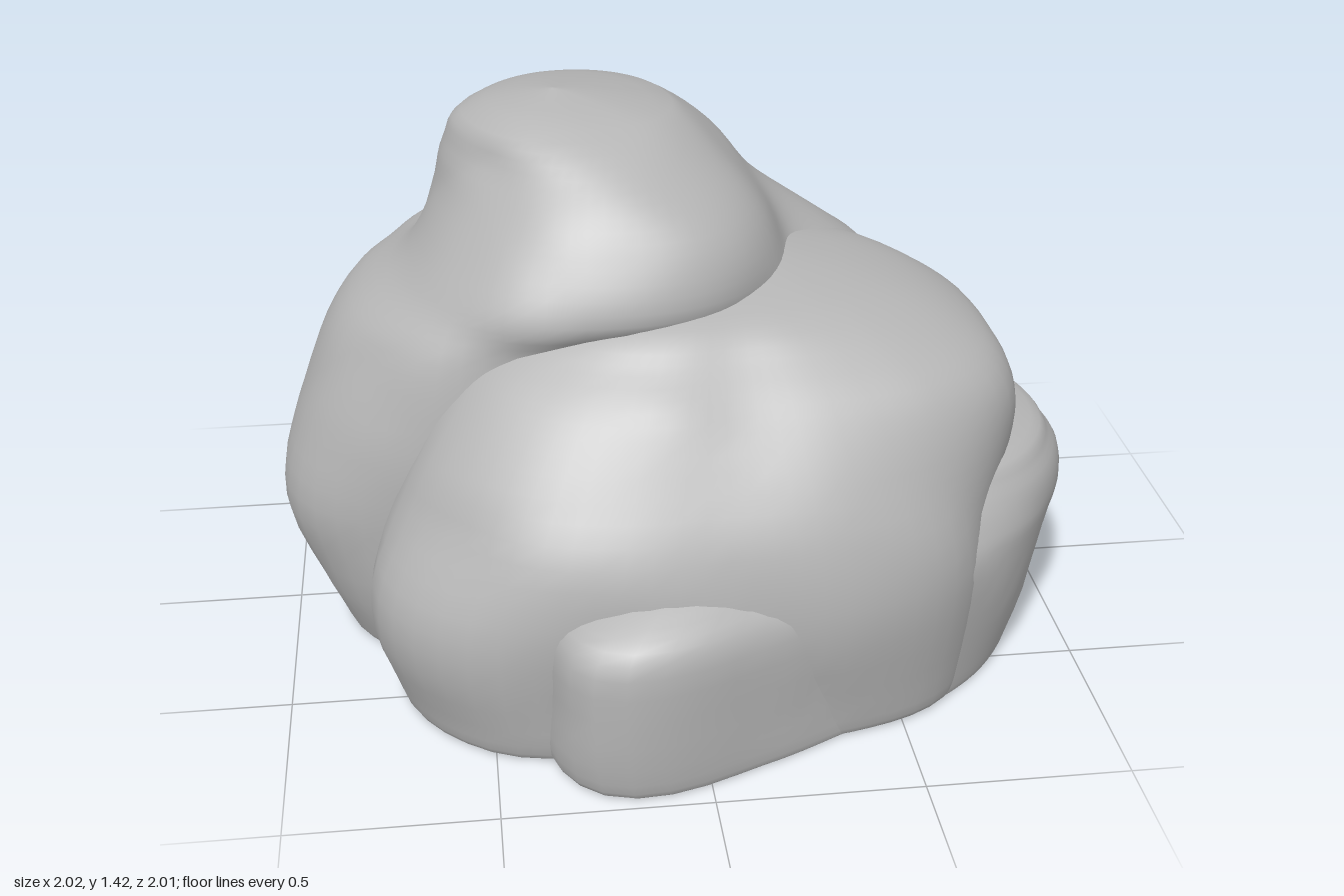
import * as THREE from 'three';

const SIDES = 16, AROUND = 80, STEPS = 5;

// Uniform Catmull-Rom through four values
function spline(a, b, c, d, t) {
  return b + 0.5 * t * (c - a + t * (2 * a - 5 * b + 4 * c - d + t * (3 * (b - c) + d - a)));
}

// Radius between the sixteen directions of a cross-section (0 = +x, a quarter turn = +z)
function ringRadius(radii, j) {
  const u = (j / AROUND) * SIDES, k = Math.floor(u);
  const at = (n) => radii[(k + n + SIDES) % SIDES];
  return spline(at(-1), at(0), at(1), at(2), u - k);
}

// Uneven, chipped relief
function chips(x, y, z) {
  return 0.011 * (Math.abs(Math.sin(5.1 * x + 3.3 * y + 1.2)) + Math.abs(Math.sin(4.3 * z - 5.7 * y + 0.4))
    - Math.abs(Math.sin(6.1 * y + 3.9 * x - 2.7 * z)) - 0.6);
}

// Boulder from rows of [height, sixteen radii], closed by a domed top and a flat base
function boulder(name, center, apex, rows, material) {
  const [cx, cz] = center;
  const foot = [0, ...rows[0].slice(1).map((r) => r * 0.965)];
  const top = [apex[1], ...new Array(SIDES).fill(0)];
  const all = [foot, ...rows, top];
  const row = (i) => all[Math.min(Math.max(i, 0), all.length - 1)];
  const pos = [], index = [];
  const addRing = (i, t, scale) => {
    const y = Math.max(0, spline(row(i - 1)[0], row(i)[0], row(i + 1)[0], row(i + 2)[0], t));
    const shift = i >= all.length - 2 ? (i === all.length - 1 ? 1 : t) : 0;
    for (let j = 0; j < AROUND; j++) {
      const a = (j / AROUND) * Math.PI * 2;
      const [p, q, r, s] = [-1, 0, 1, 2].map((n) => ringRadius(row(i + n).slice(1), j));
      let rad = Math.max(0, spline(p, q, r, s, t)) * scale;
      const x = cx + (apex[0] - cx) * shift, z = cz + (apex[2] - cz) * shift;
      const relief = chips(x + rad * Math.cos(a), y, z + rad * Math.sin(a));
      rad += relief * Math.min(1, y * 8) * Math.min(1, rad * 5);
      pos.push(x + rad * Math.cos(a), y, z + rad * Math.sin(a));
    }
  };
  // Base is its own pair of rings, so its rim stays sharp
  addRing(0, 0, 0);
  addRing(0, 0, 1);
  for (let i = 0; i < all.length - 1; i++) {
    for (let s = 0; s < STEPS; s++) addRing(i, s / STEPS, 1);
  }
  addRing(all.length - 1, 0, 1);
  const rings = pos.length / 3 / AROUND;
  for (let i = 0; i < rings - 1; i++) {
    if (i === 1) continue;
    for (let j = 0; j < AROUND; j++) {
      const a = i * AROUND + j, b = i * AROUND + (j + 1) % AROUND;
      index.push(a, a + AROUND, b, b, a + AROUND, b + AROUND);
    }
  }
  const geometry = new THREE.BufferGeometry();
  geometry.setAttribute('position', new THREE.Float32BufferAttribute(pos, 3));
  geometry.setIndex(index);
  geometry.computeVertexNormals();
  const mesh = new THREE.Mesh(geometry, material);
  mesh.name = name;
  return mesh;
}

export function createModel() {
  const stone = new THREE.MeshStandardMaterial({ color: 0xb5b5b5 });
  stone.name = 'grey stone';
  const rock = new THREE.Group();
  rock.name = 'rock';

  // Tall back mass with the overhanging brow
  rock.add(boulder('backMass', [-0.15, -0.1], [-0.28, 1.42, 0], [
    [0.05, 0.85, 0.75, 0.6, 0.5, 0.48, 0.55, 0.68, 0.76, 0.74, 0.74, 0.78, 0.79, 0.79, 0.97, 0.86, 0.87],
    [0.38, 0.85, 0.75, 0.6, 0.52, 0.5, 0.58, 0.74, 0.88, 0.84, 0.77, 0.78, 0.76, 0.75, 0.87, 0.81, 0.85],
    [0.65, 0.8, 0.72, 0.6, 0.52, 0.5, 0.6, 0.74, 0.81, 0.78, 0.72, 0.73, 0.71, 0.7, 0.78, 0.76, 0.8],
    [0.88, 0.72, 0.65, 0.55, 0.52, 0.52, 0.6, 0.7, 0.72, 0.68, 0.64, 0.65, 0.62, 0.59, 0.63, 0.64, 0.7],
    [1.0, 0.6, 0.52, 0.55, 0.6, 0.62, 0.63, 0.6, 0.55, 0.51, 0.48, 0.48, 0.48, 0.46, 0.48, 0.5, 0.55],
    [1.15, 0.4, 0.43, 0.5, 0.55, 0.55, 0.55, 0.5, 0.46, 0.44, 0.42, 0.41, 0.39, 0.37, 0.37, 0.37, 0.37],
    [1.27, 0.29, 0.32, 0.38, 0.42, 0.44, 0.44, 0.42, 0.41, 0.4, 0.36, 0.34, 0.32, 0.3, 0.29, 0.28, 0.28],
    [1.37, 0.15, 0.18, 0.22, 0.26, 0.28, 0.31, 0.33, 0.33, 0.32, 0.28, 0.24, 0.2, 0.17, 0.15, 0.14, 0.14],
  ], stone));

  // Sloping slab leaning under the brow
  rock.add(boulder('frontSlab', [0.1, 0.15], [0.12, 1.07, 0.1], [
    [0.05, 0.65, 0.7, 0.75, 0.7, 0.66, 0.72, 0.88, 0.9, 0.73, 0.6, 0.5, 0.5, 0.5, 0.5, 0.55, 0.6],
    [0.35, 0.68, 0.72, 0.78, 0.75, 0.72, 0.78, 0.93, 0.95, 0.75, 0.6, 0.5, 0.5, 0.5, 0.5, 0.58, 0.65],
    [0.6, 0.72, 0.76, 0.76, 0.7, 0.68, 0.74, 0.83, 0.84, 0.65, 0.5, 0.5, 0.5, 0.5, 0.5, 0.6, 0.68],
    [0.8, 0.7, 0.74, 0.68, 0.58, 0.53, 0.6, 0.68, 0.72, 0.6, 0.45, 0.45, 0.45, 0.45, 0.48, 0.58, 0.66],
    [0.91, 0.6, 0.62, 0.55, 0.47, 0.43, 0.48, 0.55, 0.6, 0.5, 0.4, 0.4, 0.4, 0.4, 0.43, 0.5, 0.56],
    [1.0, 0.38, 0.38, 0.36, 0.33, 0.32, 0.36, 0.4, 0.4, 0.38, 0.3, 0.3, 0.3, 0.3, 0.32, 0.36, 0.38],
  ], stone));

  // Low ledge across the front, ending in the toe on the left side
  rock.add(boulder('frontLedge', [0.35, 0.35], [0.45, 0.63, 0.28], [
    [0.05, 0.53, 0.47, 0.43, 0.42, 0.44, 0.59, 0.87, 0.8, 0.6, 0.5, 0.5, 0.5, 0.5, 0.7, 0.66, 0.59],
    [0.35, 0.61, 0.53, 0.46, 0.44, 0.45, 0.6, 0.89, 0.78, 0.6, 0.5, 0.5, 0.5, 0.5, 0.77, 0.74, 0.69],
    [0.46, 0.62, 0.54, 0.44, 0.4, 0.4, 0.5, 0.74, 0.7, 0.55, 0.45, 0.45, 0.45, 0.5, 0.75, 0.74, 0.69],
    [0.55, 0.58, 0.5, 0.38, 0.3, 0.3, 0.35, 0.45, 0.45, 0.4, 0.4, 0.4, 0.4, 0.45, 0.68, 0.68, 0.64],
    [0.61, 0.48, 0.4, 0.3, 0.25, 0.24, 0.25, 0.28, 0.28, 0.28, 0.28, 0.28, 0.3, 0.36, 0.5, 0.55, 0.54],
  ], stone));

  return rock;
}
